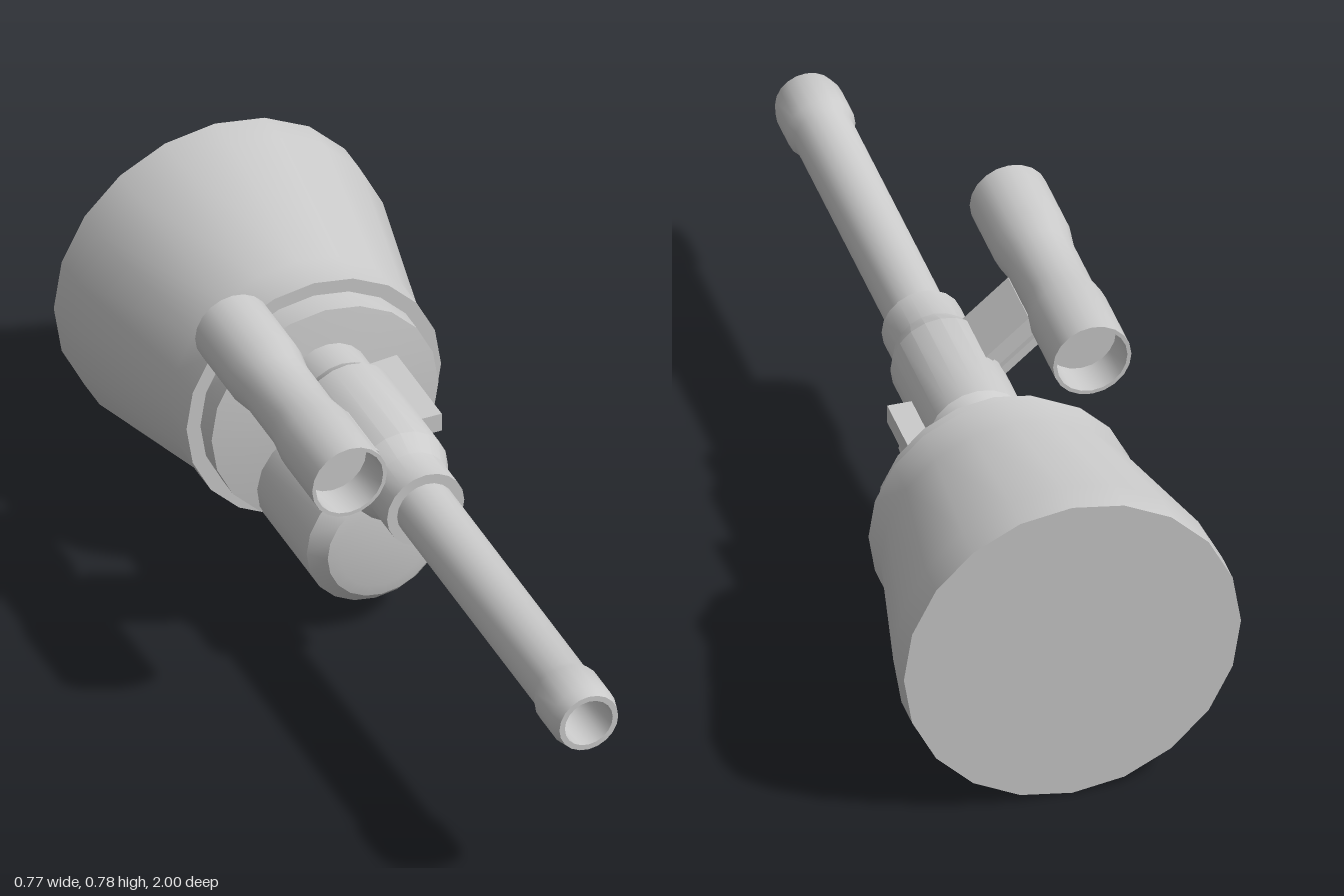
import * as THREE from 'three';
import { toCreasedNormals } from 'three/addons/utils/BufferGeometryUtils.js';

const material = new THREE.MeshStandardMaterial({ color: 0xcccccc });

export function createModel() {
  const group = new THREE.Group();

  const add = (name, geometry, x, y, z = 0) => {
    const mesh = new THREE.Mesh(geometry, material);
    mesh.name = name;
    mesh.position.set(x, y, z);
    group.add(mesh);
    return mesh;
  };

  // Turned part along z; the profile lists [radius, z] from back to front
  const turned = (name, x, y, profile, sides = 20) => {
    const points = profile.map(([r, z]) => new THREE.Vector2(r, z));
    const geometry = new THREE.LatheGeometry(points, sides).rotateX(Math.PI / 2);
    return add(name, toCreasedNormals(geometry, 0.5), x, y);
  };

  // Flared base with its front collar
  turned('base', 0, 0.384, [
    [0, -1], [0.383, -1], [0.383, -0.92], [0.303, -0.56], [0.303, -0.47], [0, -0.47],
  ]);
  turned('collar', 0, 0.384, [
    [0, -0.48], [0.27, -0.48], [0.27, -0.41], [0.1, -0.387], [0, -0.387],
  ]);

  // Lower canister with rounded front rim
  turned('canister', 0, 0.226, [
    [0, -0.485], [0.148, -0.485], [0.164, -0.465], [0.164, -0.14],
    [0.13, -0.104], [0.102, -0.098], [0, -0.098],
  ]);

  // Stepped sleeve, barrel and hollow muzzle
  turned('sleeve', 0, 0.473, [
    [0, -0.42], [0.097, -0.42], [0.097, -0.32], [0.114, -0.29],
    [0.114, -0.01], [0.092, 0.04], [0.092, 0.128], [0, 0.128],
  ]);
  turned('barrel', 0, 0.473, [
    [0, 0.1], [0.068, 0.1], [0.068, 0.86], [0.078, 0.885], [0.078, 0.97],
    [0.07, 1], [0.057, 1], [0.057, 0.85], [0, 0.85],
  ]);

  // Sighting tube, recessed at both ends
  turned('scope', -0.231, 0.687, [
    [0, -0.3], [0.08, -0.3], [0.08, -0.386], [0.089, -0.386], [0.089, -0.21], [0.079, -0.15],
    [0.079, 0], [0.089, 0.065], [0.089, 0.24], [0.08, 0.24], [0.08, 0.15], [0, 0.15],
  ]);

  // Slanted bracket: a web between two flanges
  const bracket = new THREE.Group();
  bracket.name = 'scopeBracket';
  bracket.position.set(-0.128, 0.581, -0.073);
  bracket.rotation.z = -0.713;
  const rail = (name, length, height, depth, x, y) => {
    const mesh = new THREE.Mesh(new THREE.BoxGeometry(length, height, depth), material);
    mesh.name = name;
    mesh.position.set(x, y, 0);
    bracket.add(mesh);
  };
  rail('bracketWeb', 0.17, 0.034, 0.13, 0, 0);
  for (const side of [-1, 1]) rail('bracketFlange', 0.14, 0.02, 0.157, 0, side * 0.025);
  group.add(bracket);

  // Side bar with three round-nosed rods beneath it
  add('sideBar', new THREE.BoxGeometry(0.107, 0.045, 0.25), 0.113, 0.47, -0.285);
  for (const [x, y, r] of [[0.113, 0.438, 0.036], [0.112, 0.393, 0.037], [0.099, 0.347, 0.034]]) {
    turned('sideRod', x, y, [
      [0, -0.41], [r, -0.41], [r, -0.187], [r * 0.75, -0.168], [0.006, -0.16], [0, -0.16],
    ], 12);
  }

  return group;
}
